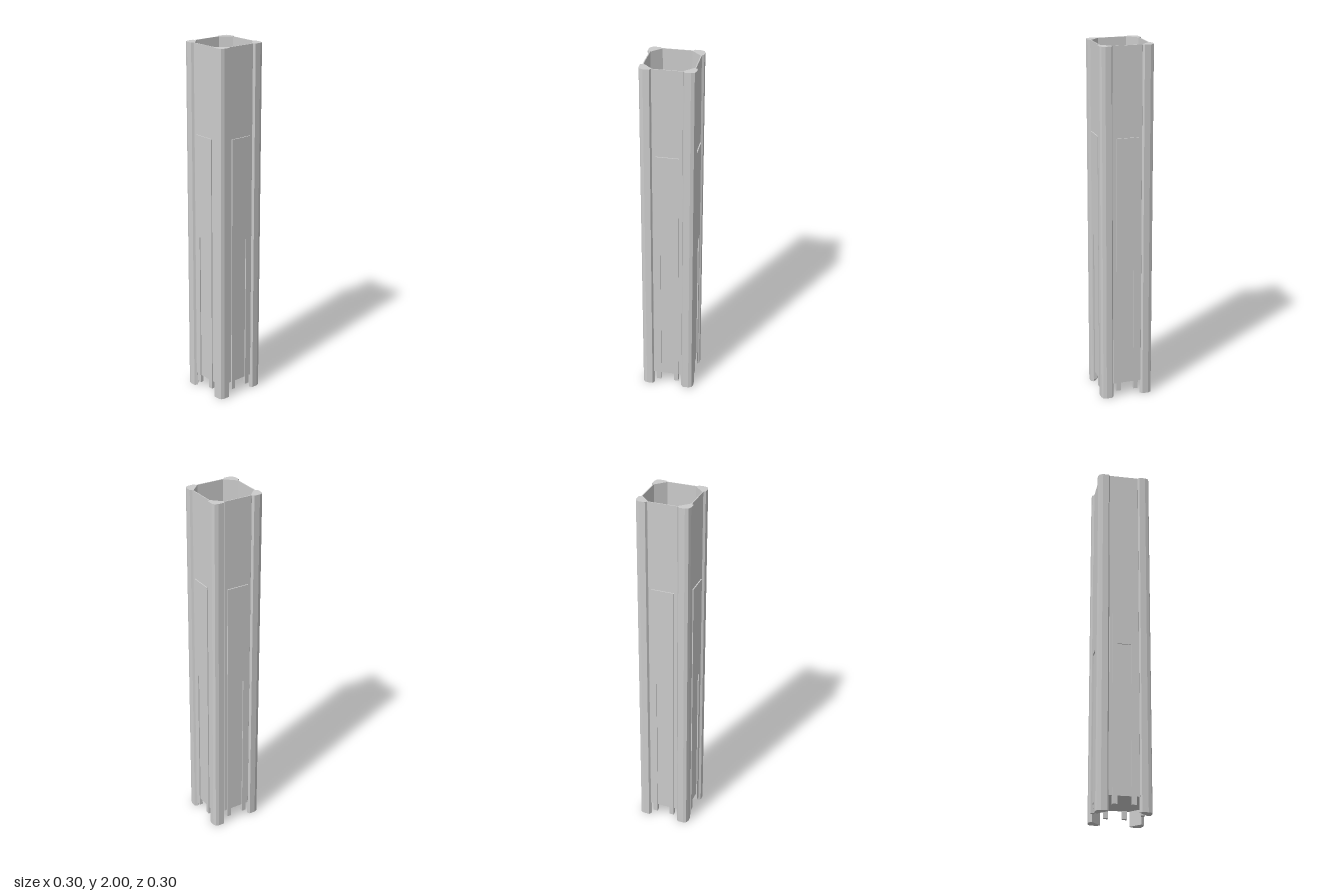
import * as THREE from 'three';

const material = new THREE.MeshStandardMaterial({ color: 0xcccccc, flatShading: true });
const points = (list) => list.map(([x, y]) => new THREE.Vector2(x, y));

// Regular-sided octagon: flats at distance r, corners at half-width c
const octagon = (r, c) => points([
  [r, -c], [r, c], [c, r], [-c, r], [-r, c], [-r, -c], [-c, -r], [c, -r],
]);

// Extrudes a plan outline upwards from y0 to y1
function upright(name, shape, y0, y1) {
  const geometry = new THREE.ExtrudeGeometry(shape, { depth: y1 - y0, bevelEnabled: false });
  geometry.rotateX(-Math.PI / 2).translate(0, y0, 0);
  const mesh = new THREE.Mesh(geometry, material);
  mesh.name = name;
  return mesh;
}

export function createModel() {
  const tower = new THREE.Group();
  tower.name = 'tower';

  // Hollow octagonal shaft, open at the top
  const shaft = new THREE.Shape(octagon(0.137, 0.081));
  shaft.holes.push(new THREE.Path(octagon(0.132, 0.078).reverse()));
  tower.add(upright('shaftWalls', shaft, 0.082, 2));

  // Floor closing the shaft
  tower.add(upright('floor', new THREE.Shape(octagon(0.134, 0.08)), 0.082, 0.09));

  // Corner column outline, and the arch-shaped rib on each wall
  const column = new THREE.Shape(points([
    [0.137, 0.083], [0.148, 0.09], [0.148, 0.123], [0.141, 0.141],
    [0.123, 0.148], [0.09, 0.148], [0.083, 0.137], [0.079, 0.132], [0.132, 0.079],
  ]));
  const arch = new THREE.Shape(points([
    [-0.063, 0.037], [-0.038, 0.037], [-0.038, 0.93], [0.038, 0.93],
    [0.038, 0.037], [0.063, 0.037], [0.063, 1.51], [-0.063, 1.51],
  ]));
  const archGeometry = new THREE.ExtrudeGeometry(arch, { depth: 0.02, bevelEnabled: false });
  archGeometry.translate(0, 0, 0.123);

  // One column and one arch per quarter turn
  for (let i = 0; i < 4; i++) {
    const side = new THREE.Group();
    side.name = 'side' + (i + 1);
    side.rotation.y = (i * Math.PI) / 2;
    const rib = new THREE.Mesh(archGeometry, material);
    rib.name = 'wallArch';
    side.add(upright('cornerColumn', column, 0, 2), rib);
    tower.add(side);
  }
  return tower;
}
